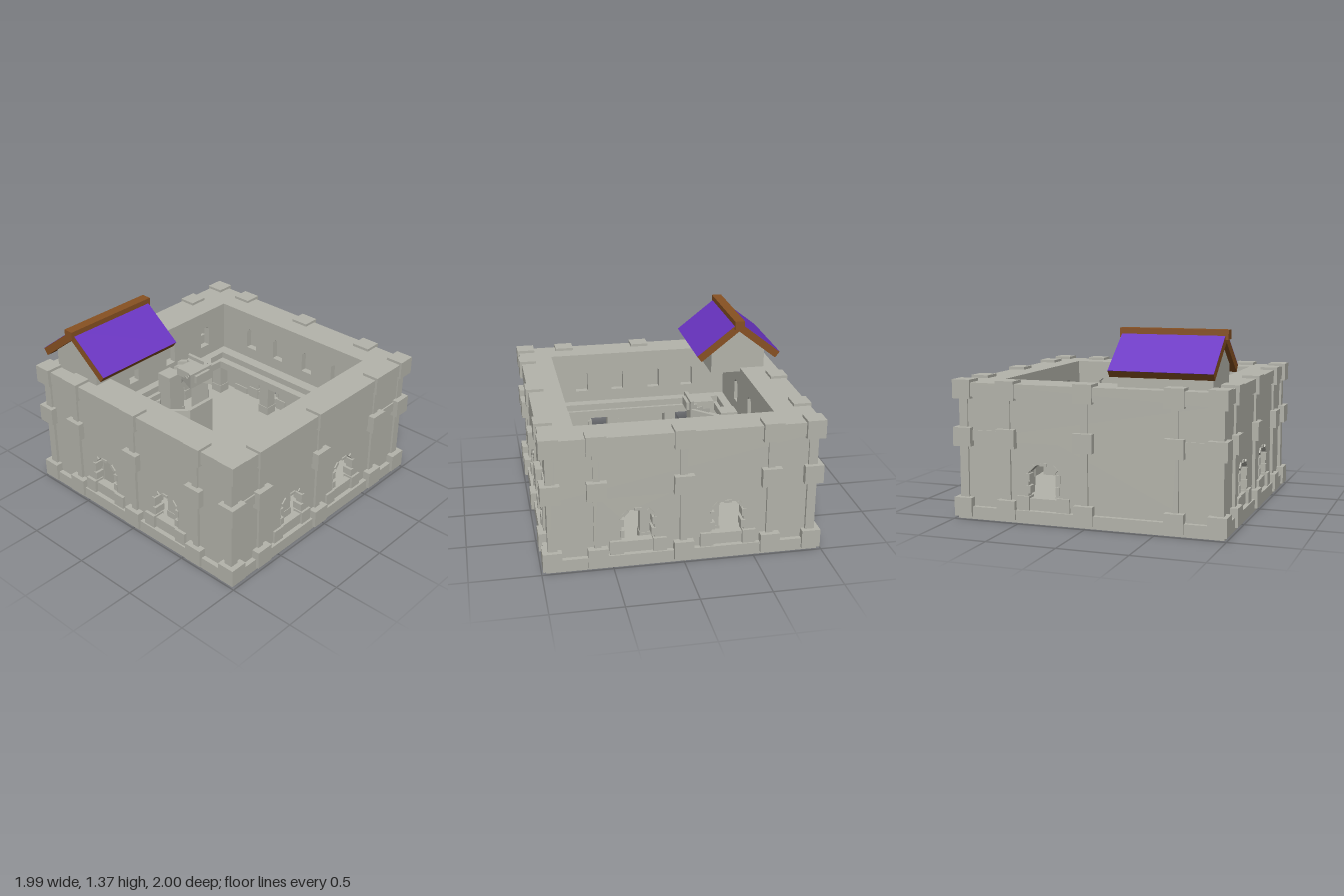
import * as THREE from 'three';

const mat = (name, color) => {
  const m = new THREE.MeshStandardMaterial({ color });
  m.name = name;
  return m;
};

export function createModel() {
  const stone = mat('stone', 0xb4b4ab);
  const wood = mat('wood', 0x885122);
  const tiles = mat('roofTiles', 0x6a34c2);
  const model = new THREE.Group();
  model.name = 'courtyardKeep';

  const add = (parent, name, geo, material = stone) => {
    const mesh = new THREE.Mesh(geo, material);
    mesh.name = name;
    parent.add(mesh);
    return mesh;
  };
  // Box given by its min and max on each axis
  const box = (parent, name, x0, x1, y0, y1, z0, z1, material) => {
    const m = add(parent, name, new THREE.BoxGeometry(x1 - x0, y1 - y0, z1 - z0), material);
    m.position.set((x0 + x1) / 2, (y0 + y1) / 2, (z0 + z1) / 2);
    return m;
  };
  const poly = (pts, Type = THREE.Shape) => new Type(pts.map(([x, y]) => new THREE.Vector2(x, y)));
  const rect = (x0, x1, y0, y1) => [[x0, y0], [x1, y0], [x1, y1], [x0, y1]];
  const extrude = (shape, depth) => new THREE.ExtrudeGeometry(shape, { depth, bevelEnabled: false });
  // Plan shape (x, z) raised from y0 to y1
  const plan = (parent, name, shape, y0, y1) => {
    const m = add(parent, name, extrude(shape, y1 - y0));
    m.rotation.x = Math.PI / 2;
    m.position.y = y1;
  };
  // Square ring whose opening spans x0..x1 and z0..z1
  const squareRing = (name, outer, [x0, x1, z0, z1], y0, y1) => {
    const s = poly(rect(-outer, outer, -outer, outer));
    s.holes.push(poly(rect(x0, x1, z0, z1), THREE.Path));
    plan(model, name, s, y0, y1);
  };
  // Chamfered arch outline
  const arch = (x, w, y0, y1) => poly([
    [x - w, y0], [x + w, y0], [x + w, y1 - w * 0.5], [x + w * 0.75, y1 - w * 0.28],
    [x + w * 0.45, y1], [x - w * 0.45, y1], [x - w * 0.75, y1 - w * 0.28], [x - w, y1 - w * 0.5],
  ], THREE.Path);

  // Four outer sides, each built facing +z and then turned
  const sides = [
    { name: 'front', turn: 0, posts: [-0.615, -0.01, 0.61], arches: [-0.335, 0.3],
      windows: [-0.38, -0.1, 0.2, 0.49], reach: 1, inner: 0.735 },
    { name: 'left', turn: 1, posts: [-0.665, -0.035, 0.625], arches: [-0.315, 0.28],
      windows: [-0.3, 0.1, 0.5], reach: 0.993, inner: 0.73 },
    { name: 'back', turn: 2, posts: [-0.605, 0, 0.62], arches: [-0.32, 0.32],
      windows: [-0.49, -0.2, 0.1, 0.38], reach: 1, inner: 0.73 },
    { name: 'right', turn: 3, posts: [-0.6, -0.02, 0.63], arches: [-0.33],
      windows: [-0.5, -0.1, 0.3], reach: 0.985, inner: 0.69 },
  ];
  const blockLevels = [0.02, 0.525, 0.865];
  sides.forEach(({ name, turn, posts, arches, windows, reach, inner }) => {
    const side = new THREE.Group();
    side.name = name + 'Side';
    side.rotation.y = turn * Math.PI / 2;
    model.add(side);
    const flank = turn % 2 === 1;
    const face = flank ? 0.935 : 0.945;
    const rib = flank ? 0.952 : 0.968;

    const wall = poly(rect(-0.935, 0.935, 0.02, 0.9));
    arches.forEach((x) => wall.holes.push(arch(x, 0.115, 0.175, 0.415)));
    add(side, 'outerWall', extrude(wall, face - 0.88)).position.z = 0.88;
    box(side, 'baseCourse', -0.97, 0.97, 0, 0.09, 0.89, flank ? 0.97 : 0.98);
    box(side, 'upperPanel', -0.935, 0.935, flank ? 0.565 : 0.52, 0.89, face - 0.02, face + 0.006);
    if (flank) [-0.77, 0.77].forEach((x) =>
      box(side, 'middleCourse', x - 0.15, x + 0.15, 0.565, 0.64, face - 0.02, rib));

    // Wall ribs with three quoin blocks each
    posts.forEach((x) => {
      box(side, 'wallRib', x - 0.025, x + 0.025, 0.05, 0.9, face - 0.02, rib);
      blockLevels.forEach((y) =>
        box(side, 'ribBlock', x - 0.07, x + 0.07, y, y + 0.135, reach - 0.13, reach));
    });

    // Arch stonework
    arches.forEach((x) => {
      [-1, 1].forEach((s) => {
        const stoneBox = (n, a, b, y0, y1, z1) =>
          box(side, n, Math.min(x + s * a, x + s * b), Math.max(x + s * a, x + s * b), y0, y1, 0.87, z1);
        stoneBox('archFoot', 0.105, 0.2, 0.085, 0.19, rib);
        stoneBox('jambStone', 0.095, 0.125, 0.21, 0.265, face + 0.01);
        stoneBox('jambStone', 0.1, 0.13, 0.295, 0.35, face + 0.01);
        const v = box(side, 'archStone', -0.025, 0.025, -0.012, 0.012, 0.87, face + 0.01);
        v.position.x = x + s * 0.088;
        v.position.y = 0.395;
        v.rotation.z = -s * 0.8;
      });
      box(side, 'keystone', x - 0.025, x + 0.025, 0.41, 0.43, 0.87, face + 0.01);
    });

    // Gallery wall with small arched windows
    const gallery = poly(rect(-inner - 0.04, inner + 0.04, 0.56, 0.9));
    windows.forEach((x) => gallery.holes.push(arch(x, 0.048, 0.67, 0.84)));
    add(side, 'galleryWall', extrude(gallery, 0.05)).position.z = inner;

    // Ground floor pillars
    [-0.78, -0.24, 0.24].forEach((x) => {
      box(side, 'pillar', x - 0.045, x + 0.045, 0.08, 0.55, 0.735, 0.825);
      box(side, 'pillarBase', x - 0.05, x + 0.05, 0.02, 0.17, 0.73, 0.83);
    });
  });

  // Corner posts and blocks
  [-1, 1].forEach((sx) => [-1, 1].forEach((sz) => {
    const c = (name, w, y0, y1, rx, rz) => {
      const x = sx * (rx - w / 2), z = sz * (rz - w / 2);
      box(model, name, x - w / 2, x + w / 2, y0, y1, z - w / 2, z + w / 2);
    };
    c('cornerPost', 0.065, 0.02, 0.9, 0.95, 0.968);
    blockLevels.forEach((y) => c('cornerBlock', 0.135, y, y + 0.135, 0.99, 1));
  }));

  // Wall walk and gallery
  squareRing('wallWalk', 0.975, [-0.69, 0.73, -0.73, 0.735], 0.88, 0.98);
  squareRing('galleryFloor', 0.9, [-0.625, 0.645, -0.645, 0.655], 0.53, 0.58);
  squareRing('galleryTrim', 0.68, [-0.595, 0.615, -0.585, 0.63], 0.47, 0.53);
  box(model, 'floor', -0.9, 0.9, 0.075, 0.1, -0.92, 0.92);

  // Octagonal spiral stair
  const cx = -0.52, cz = 0.02;
  const at = (r, k) => {
    const a = (k + 0.5) * Math.PI / 4;
    return [cx + r * Math.cos(a), cz + r * Math.sin(a)];
  };
  for (let i = 0; i < 8; i++) {
    const y = 0.36 + i * 0.06;
    const piece = (name, r0, r1, y0, y1) =>
      plan(model, name, poly([at(r0, i), at(r1, i), at(r1, i + 1), at(r0, i + 1)]), y0, y1);
    piece('stairTread', 0.13, 0.25, y - 0.06, y);
    piece('stairKerb', 0.25, 0.28, y - 0.06, y + 0.03);
    piece('stairParapet', 0.28, 0.31, y - 0.06, y + 0.06);
    piece('stairWell', 0.24, 0.28, 0.01, 0.11);
  }
  box(model, 'stairPost', -0.62, -0.49, 0.08, 0.7, -0.02, 0.11);
  box(model, 'stairLanding', -0.42, -0.21, 0.76, 0.82, -0.055, 0.095);

  // Walls around the stair and the corner room
  const path = [[-0.44, 0.88], [-0.44, 0.33], [-0.25, 0.14], [-0.25, -0.1], [-0.43, -0.28], [-0.62, -0.28]];
  path.slice(1).forEach(([x1, z1], i) => {
    const [x0, z0] = path[i];
    const m = add(model, 'stairRoomWall',
      new THREE.BoxGeometry(0.03, 0.45, Math.hypot(x1 - x0, z1 - z0) + 0.01));
    m.position.set((x0 + x1) / 2, 0.305, (z0 + z1) / 2);
    m.rotation.y = Math.atan2(x1 - x0, z1 - z0);
  });
  box(model, 'roomKerb', -0.37, -0.345, 0.02, 0.12, 0.25, 0.88);

  // Gabled turret with pitched roof
  const turret = new THREE.Group();
  turret.name = 'turret';
  model.add(turret);
  const ridgeX = -0.67;
  const gable = poly([[-0.88, 0.95], [-0.46, 0.95], [-0.46, 1.15], [ridgeX, 1.31], [-0.88, 1.15]]);
  add(turret, 'turretWalls', extrude(gable, 0.67)).position.z = 0.2;
  [-1, 1].forEach((s) => {
    const slope = new THREE.Group();
    slope.name = 'roofSlope';
    slope.position.set(ridgeX, 1.36, 0.537);
    slope.rotation.z = -s * 0.663;
    turret.add(slope);
    const x0 = s > 0 ? 0 : -0.418, x1 = s > 0 ? 0.418 : 0;
    box(slope, 'roofBoards', x0, x1, -0.059, -0.002, -0.365, 0.365, wood);
    box(slope, 'roofTiles', x0, x1, -0.002, 0, -0.365, 0.365, tiles);
  });
  box(turret, 'ridgeBeam', ridgeX - 0.038, ridgeX + 0.038, 1.305, 1.37, 0.155, 0.925, wood);

  return model;
}
